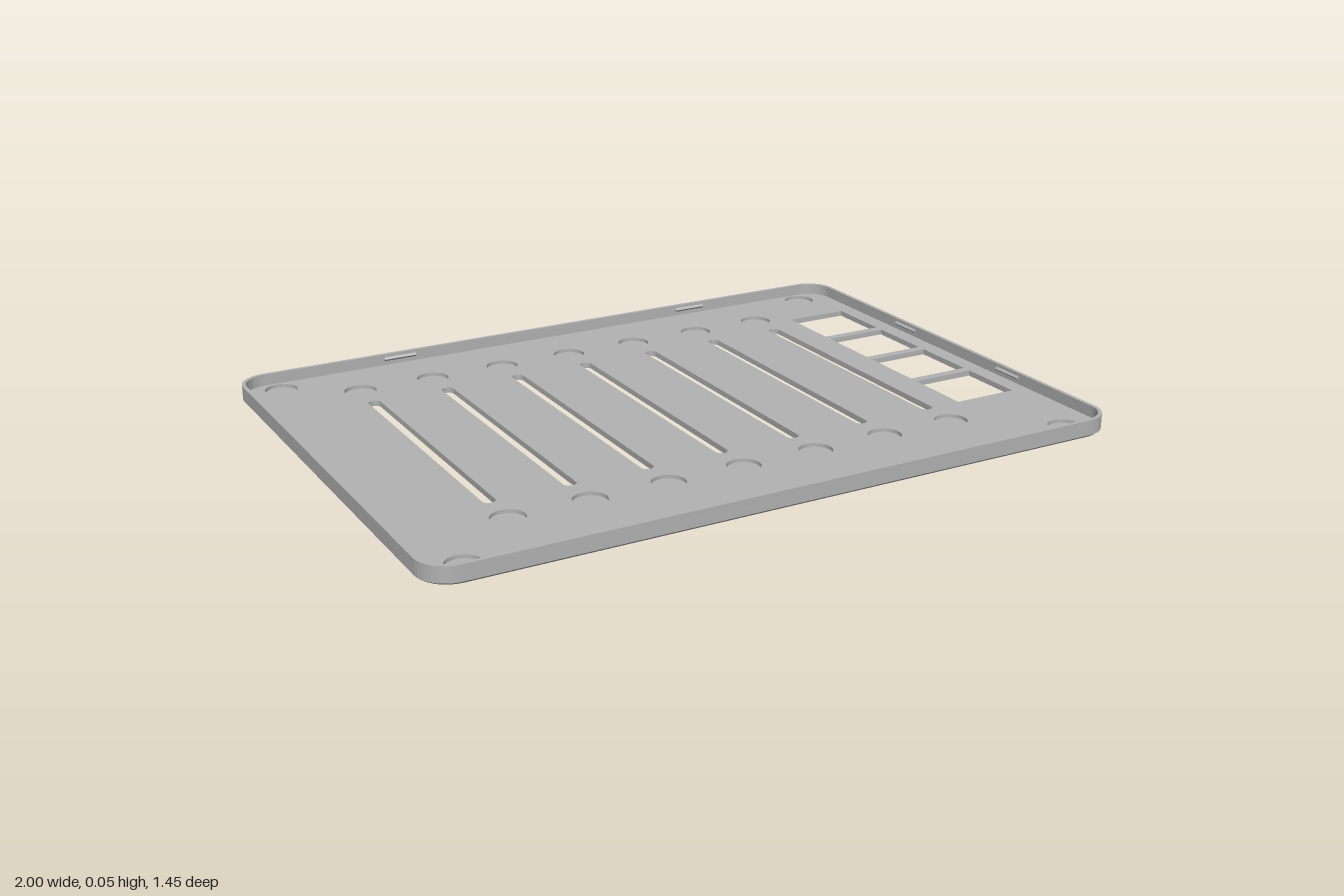
import * as THREE from 'three';
import { toCreasedNormals } from 'three/addons/utils/BufferGeometryUtils.js';

const W = 1, D = 0.725, R = 0.085;            // half width, half depth, corner radius
const SKIN = 0.006, FLOOR = 0.016, TOP = 0.049; // heights of the layers
const RIM = 0.011;                            // rim wall thickness
const PITCH = 0.2217;

// Rounded rectangle in plan; z is flipped because the shape is laid flat later
function roundRect(path, x0, x1, z0, z1, r) {
  const a = -z1, b = -z0, q = Math.PI / 2;
  path.moveTo(x0 + r, a);
  path.lineTo(x1 - r, a);
  if (r) path.absarc(x1 - r, a + r, r, -q, 0);
  path.lineTo(x1, b - r);
  if (r) path.absarc(x1 - r, b - r, r, 0, q);
  path.lineTo(x0 + r, b);
  if (r) path.absarc(x0 + r, b - r, r, q, 2 * q);
  path.lineTo(x0, a + r);
  if (r) path.absarc(x0 + r, a + r, r, 2 * q, 3 * q);
  path.closePath();
  return path;
}

const outline = () => roundRect(new THREE.Shape(), -W, W, -D, D, R);

// Long slots and square windows that pass through the whole floor
function openings() {
  const list = [];
  for (let i = 0; i < 7; i++) {
    const x = -0.69 + i * PITCH;
    list.push(roundRect(new THREE.Path(), x - 0.0175, x + 0.0175, -0.443, 0.375, 0.0174));
  }
  for (let i = 0; i < 4; i++) {
    const z = -0.395 + i * PITCH;
    list.push(roundRect(new THREE.Path(), 0.747, 0.94, z - 0.098, z + 0.098, 0));
  }
  return list;
}

// Round shallow pockets: one at each slot end and one in each corner
function pockets() {
  const spots = [];
  for (let i = 0; i < 7; i++) for (const z of [-0.54, 0.472]) spots.push([-0.69 + i * PITCH, z]);
  for (const x of [-0.885, 0.885]) for (const z of [-0.66, 0.655]) spots.push([x, z]);
  return spots.map(([x, z]) => new THREE.Path().absarc(x, -z, 0.046, 0, Math.PI * 2));
}

// Flat layer from y0 to y1
function layer(shape, y0, y1) {
  const g = new THREE.ExtrudeGeometry(shape, { depth: y1 - y0, bevelEnabled: false, curveSegments: 12 });
  g.rotateX(-Math.PI / 2);
  g.translate(0, y0, 0);
  return g;
}

export function createModel() {
  const model = new THREE.Group();
  model.name = 'slottedTray';
  const grey = new THREE.MeshStandardMaterial({ color: 0xb2b2b2 });
  grey.name = 'grey plastic';

  const add = (name, geometry, parent = model) => {
    const mesh = new THREE.Mesh(toCreasedNormals(geometry, 0.5), grey);
    mesh.name = name;
    parent.add(mesh);
    return mesh;
  };

  // Bottom skin, its lower outer edge drawn in to a small chamfer
  const skinShape = outline();
  skinShape.holes.push(...openings());
  const skin = layer(skinShape, 0, SKIN);
  const p = skin.attributes.position;
  for (let i = 0; i < p.count; i++) {
    const x = p.getX(i), z = p.getZ(i);
    if (p.getY(i) < 0.001 && (Math.abs(x) > 0.96 || Math.abs(z) > 0.65)) {
      p.setXYZ(i, x * 0.994, p.getY(i), z * 0.992);
    }
  }
  skin.computeVertexNormals();
  add('bottomSkin', skin);

  // Floor with pockets
  const floorShape = outline();
  floorShape.holes.push(...openings(), ...pockets());
  add('floor', layer(floorShape, SKIN, FLOOR));

  // Raised rim
  const rimShape = outline();
  rimShape.holes.push(roundRect(new THREE.Path(), -W + RIM, W - RIM, -D + RIM, D - RIM, R - RIM));
  add('rim', layer(rimShape, FLOOR, TOP));

  // Snap ridges on the inner faces of the rim
  const clips = new THREE.Group();
  clips.name = 'snapRidges';
  model.add(clips);
  const profile = new THREE.Shape([
    new THREE.Vector2(-0.002, 0.026), new THREE.Vector2(0.006, 0.034), new THREE.Vector2(-0.002, 0.042),
  ]);
  const clip = (x, z, turn) => {
    const g = new THREE.ExtrudeGeometry(profile, { depth: 0.1, bevelEnabled: false });
    g.translate(0, 0, -0.05);
    const mesh = add('snapRidge', g, clips);
    mesh.position.set(x, 0, z);
    mesh.rotation.y = turn;
  };
  for (const x of [-0.5, 0.495]) clip(x, -D + RIM, -Math.PI / 2);
  for (const x of [-0.435, 0.43]) clip(x, D - RIM, Math.PI / 2);
  for (const z of [-0.21, 0.285]) {
    clip(-W + RIM, z, 0);
    clip(W - RIM, z, Math.PI);
  }
  return model;
}
